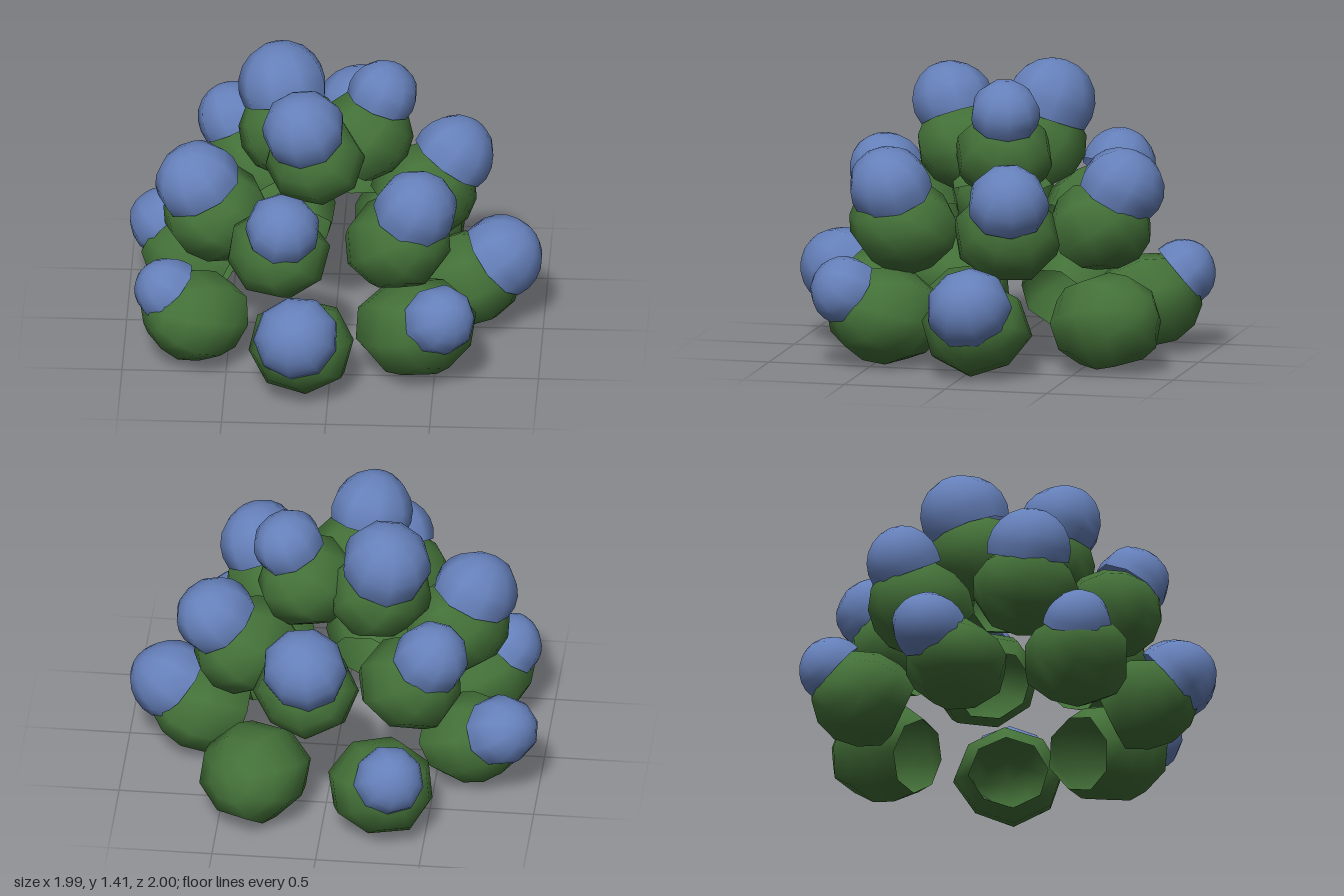
import * as THREE from 'three';
import { mergeVertices } from 'three/addons/utils/BufferGeometryUtils.js';

const UP = new THREE.Vector3(0, 1, 0);

// Low-poly open dome facing along axis, gently uneven, flattened in height, smooth normals
function lumpyDome(radius, sides, rings, sweep, lump, seed, axis, flatten) {
  let geo = new THREE.SphereGeometry(radius, sides, rings, 0, Math.PI * 2, 0, sweep);
  geo.deleteAttribute('uv');
  geo.deleteAttribute('normal');
  geo = mergeVertices(geo, 1e-4);
  const p = geo.attributes.position;
  const v = new THREE.Vector3();
  const k = 2.7 / radius;
  for (let i = 0; i < p.count; i++) {
    v.fromBufferAttribute(p, i);
    const wave = Math.sin(v.x * k + seed) * Math.cos(v.z * k + seed * 2.3) + Math.sin(v.y * k * 1.3 + seed * 1.7) * 0.4;
    v.multiplyScalar(1 + lump * wave);
    p.setXYZ(i, v.x, v.y, v.z);
  }
  geo.applyQuaternion(new THREE.Quaternion().setFromUnitVectors(UP, axis));
  geo.scale(1, flatten, 1);
  geo.computeVertexNormals();
  return geo;
}

// Each clump: leaf x, leaf z, leaf radius, then bloom x, y, z, radius
const TIERS = [
  {
    name: 'lower', leafY: 0.24, tilt: 0.35, clumps: [
      [-0.67, -0.22, 0.255, -0.82, 0.36, -0.33, 0.18],
      [-0.28, -0.68, 0.265, -0.335, 0.37, -0.83, 0.17],
      [0.64, -0.06, 0.26, 0.79, 0.36, -0.06, 0.205],
      [0.41, 0.44, 0.285, 0.525, 0.37, 0.61, 0.175],
      [-0.13, 0.65, 0.26, -0.15, 0.36, 0.80, 0.205],
      [-0.66, 0.37, 0.26, -0.78, 0.37, 0.38, 0.17],
      [0.33, -0.62, 0.27],
    ],
  },
  {
    name: 'middle', leafY: 0.66, tilt: 0.65, clumps: [
      [-0.56, 0.11, 0.26, -0.65, 0.84, 0.14, 0.205],
      [-0.40, -0.41, 0.26, -0.50, 0.85, -0.48, 0.185],
      [0.09, -0.53, 0.25, 0.09, 0.85, -0.64, 0.205],
      [0.43, -0.16, 0.26, 0.565, 0.84, -0.20, 0.195],
      [0.32, 0.37, 0.265, 0.405, 0.86, 0.42, 0.205],
      [-0.25, 0.50, 0.25, -0.225, 0.84, 0.60, 0.18],
    ],
  },
  {
    name: 'top', leafY: 0.99, tilt: 0.85, clumps: [
      [-0.22, -0.13, 0.25, -0.26, 1.20, -0.20, 0.215],
      [0.13, -0.07, 0.25, 0.225, 1.21, -0.10, 0.17],
      [-0.09, 0.17, 0.245, -0.14, 1.20, 0.25, 0.20],
    ],
  },
];

export function createModel() {
  const model = new THREE.Group();
  model.name = 'floweringBush';
  const leafGreen = new THREE.MeshStandardMaterial({ color: 0x437038, side: THREE.DoubleSide });
  leafGreen.name = 'leafGreen';
  const petalBlue = new THREE.MeshStandardMaterial({ color: 0x6580ba, side: THREE.DoubleSide });
  petalBlue.name = 'petalBlue';

  let seed = 1;
  for (const { name, leafY, tilt, clumps } of TIERS) {
    const tier = new THREE.Group();
    tier.name = name + 'Tier';
    for (const [x, z, r, bx, by, bz, br] of clumps) {
      seed += 1.37;
      const clump = new THREE.Group();
      clump.name = 'clump';

      // Hollow leaf dome, facing outward from the middle of the bush
      const out = Math.atan2(z, x);
      const axis = new THREE.Vector3(Math.cos(out) * Math.cos(tilt), Math.sin(tilt), Math.sin(out) * Math.cos(tilt));
      const leaf = new THREE.Mesh(lumpyDome(r, 8, 5, Math.PI * 0.74, 0.05, seed, axis, 0.87), leafGreen);
      leaf.name = 'leafDome';
      leaf.position.set(x, leafY, z);
      clump.add(leaf);

      // Rounded bloom whose rim meets the leaf surface
      if (br) {
        const center = new THREE.Vector3(bx, by, bz);
        const facing = center.clone().sub(leaf.position);
        const d = facing.length();
        const sweep = Math.acos(((r * 0.98) ** 2 - d * d - br * br) / (2 * d * br));
        const bloom = new THREE.Mesh(lumpyDome(br, 9, 6, sweep, 0.03, seed + 4, facing.normalize(), 0.97), petalBlue);
        bloom.name = 'bloom';
        bloom.position.copy(center);
        clump.add(bloom);
      }
      tier.add(clump);
    }
    model.add(tier);
  }
  return model;
}
